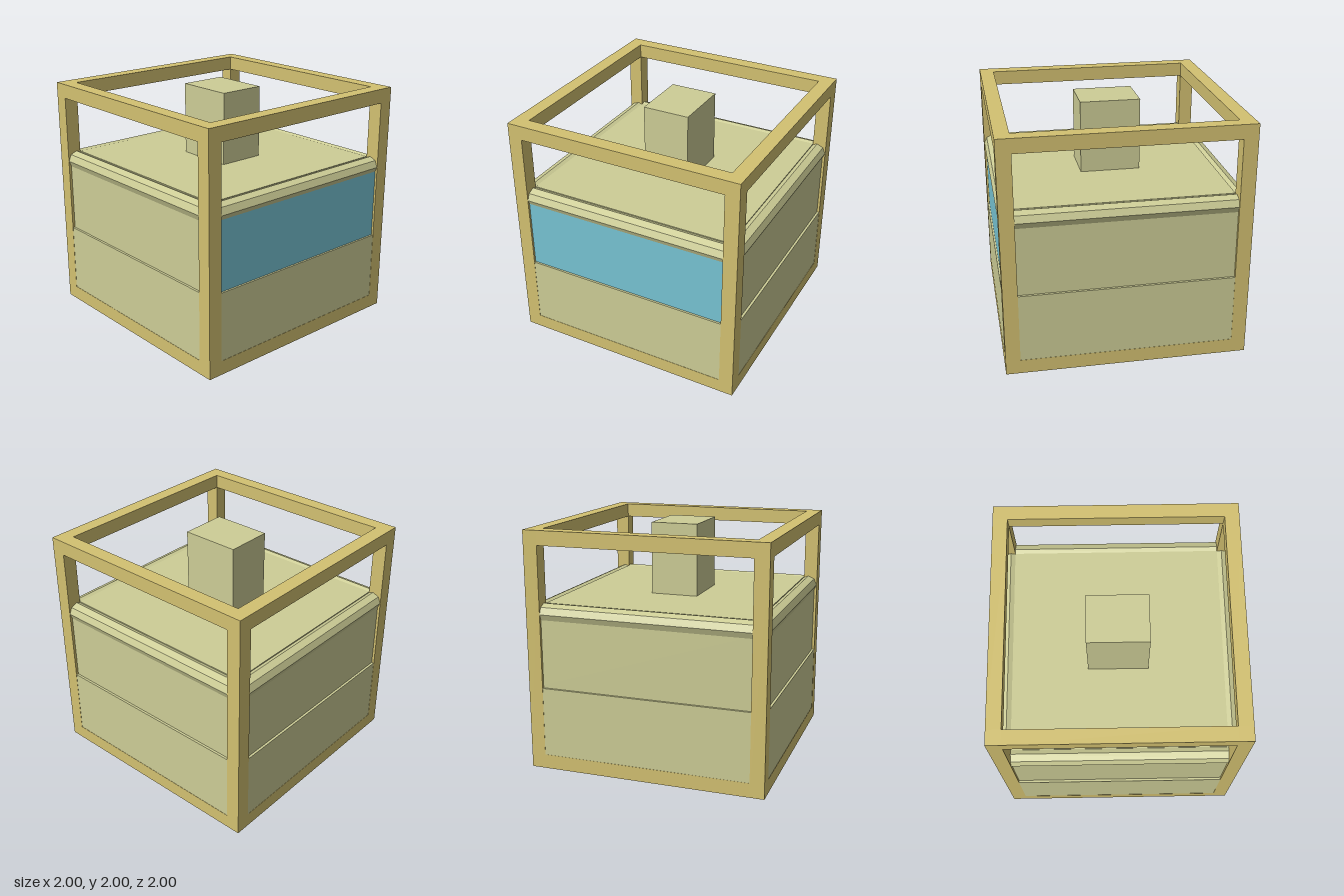
import * as THREE from 'three';

const mat = (name, color) => {
  const m = new THREE.MeshStandardMaterial({ color });
  m.name = name;
  return m;
};

export function createModel() {
  const model = new THREE.Group();
  const gold = mat('gold frame', 0xd3c171);
  const khaki = mat('khaki body', 0xcdcd96);
  const blue = mat('blue panel', 0x77c3d3);
  const rimMat = khaki;

  const add = (name, geometry, material, x = 0, y = 0, z = 0, parent = model) => {
    const mesh = new THREE.Mesh(geometry, material);
    mesh.name = name;
    mesh.position.set(x, y, z);
    parent.add(mesh);
    return mesh;
  };
  const box = (name, material, w, h, d, x, y, z, parent) =>
    add(name, new THREE.BoxGeometry(w, h, d), material, x, y, z, parent);

  // Open cube frame: four posts joined by rails at top and bottom
  const T = 0.12, C = 1 - T / 2, SPAN = 2 - 2 * T;
  const frame = new THREE.Group();
  frame.name = 'frame';
  model.add(frame);
  for (const s of [-1, 1]) {
    for (const t of [-1, 1]) box('post', gold, T, 2, T, s * C, 1, t * C, frame);
    for (const y of [T / 2, 2 - T / 2]) {
      box('sideRail', gold, T, T, SPAN, s * C, y, 0, frame);
      box('crossRail', gold, SPAN, T, T, 0, y, s * C, frame);
    }
  }

  // Lower body sits almost flush with the frame, upper body steps in
  box('lowerBody', khaki, 1.996, 0.698, 1.996, 0, 0.351, 0);
  box('upperBody', khaki, 1.956, 0.63, 1.956, 0, 1.005, 0);
  box('lid', khaki, 1.76, 0.1, 1.76, 0, 1.343, 0);

  // Coloured panel on the model's left side
  box('sidePanel', blue, 0.008, 0.62, SPAN, 0.978, 1.01, 0);

  // Eight-sided rolled rim along each edge of the lid
  for (let i = 0; i < 4; i++) {
    const side = new THREE.Group();
    side.name = 'rimSide';
    side.rotation.y = i * Math.PI / 2;
    const bar = new THREE.CylinderGeometry(0.08, 0.08, 1.8, 8).toNonIndexed();
    bar.computeVertexNormals();
    bar.rotateZ(Math.PI / 2);
    add('rim', bar, rimMat, 0, 1.32, 0.918, side);
    model.add(side);
  }

  // Block standing on the lid
  box('chimney', khaki, 0.5, 0.61, 0.4, 0, 1.693, 0);

  return model;
}
